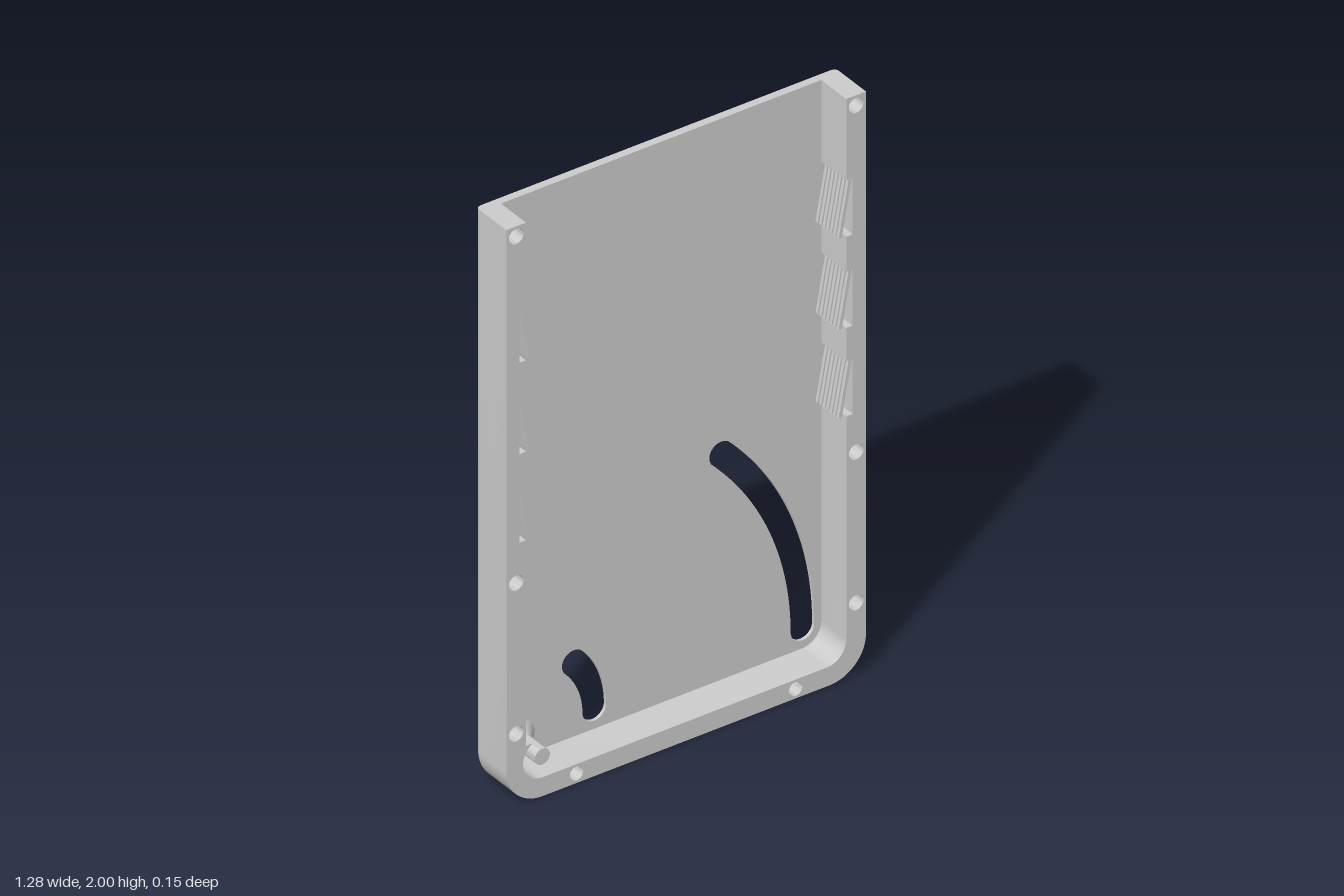
import * as THREE from 'three';
import { toCreasedNormals } from 'three/addons/utils/BufferGeometryUtils.js';

const W = 0.64, H = 2, R = 0.13;              // half width, height, corner radius
const IN = 0.57, FLOOR_Y = 0.065;             // inner faces of the walls
const BACK = -0.076, FRONT = 0.076, FLOOR = -0.049, FILLET = 0.016;
const PIVOT = [-0.51, 0.135];
const FIN_SETS = [[1.72, 1.525], [1.405, 1.21], [1.095, 0.905]]; // top, bottom
const NOTCH = 0.593;

export function createModel() {
  const group = new THREE.Group();
  const material = new THREE.MeshStandardMaterial({ color: 0xcccccc });

  const add = (name, geometry, parent = group) => {
    const mesh = new THREE.Mesh(toCreasedNormals(geometry, 0.6), material);
    mesh.name = name;
    parent.add(mesh);
    return mesh;
  };
  const extrude = (shape, z0, z1, steps = 1) =>
    new THREE.ExtrudeGeometry(shape, { depth: z1 - z0, steps, bevelEnabled: false, curveSegments: 20 })
      .translate(0, 0, z0);

  // Outer outline: square at the top, rounded at the bottom corners
  const outline = () => {
    const s = new THREE.Shape();
    s.moveTo(-W, H);
    s.lineTo(-W, R);
    s.absarc(-W + R, R, R, Math.PI, 1.5 * Math.PI, false);
    s.lineTo(W - R, 0);
    s.absarc(W - R, R, R, -Math.PI / 2, 0, false);
    s.lineTo(W, H);
    return s;
  };
  const circle = (x, y, r) => new THREE.Path().absarc(x, y, r, 0, 2 * Math.PI, false);

  // Curved slot with round ends, swept about the pivot
  const arcSlot = (radius, angle, w) => {
    const [px, py] = PIVOT, p = new THREE.Path();
    p.absarc(px, py, radius + w, 0, angle, false);
    p.absarc(px + radius * Math.cos(angle), py + radius * Math.sin(angle), w, angle, angle + Math.PI, false);
    p.absarc(px, py, radius - w, angle, 0, true);
    p.absarc(px + radius, py, w, Math.PI, 2 * Math.PI, false);
    return p;
  };
  const plateShape = (w) => {
    const s = outline();
    s.holes.push(arcSlot(0.272, 0.75, w), arcSlot(1.013, 0.775, w), circle(...PIVOT, 0.0585));
    return s;
  };

  // Back plate: narrow slots inside, wider recesses on the rear
  add('innerPlate', extrude(plateShape(0.042), BACK + FILLET, FLOOR));
  const rear = extrude(plateShape(0.06), BACK, BACK + FILLET, 5);
  const pos = rear.attributes.position;
  // Round the rear side and bottom edges by pulling the rim inwards
  for (let i = 0; i < pos.count; i++) {
    const t = Math.max(0, FILLET - (pos.getZ(i) - BACK));
    const d = FILLET - Math.sqrt(Math.max(0, FILLET * FILLET - t * t));
    let x = pos.getX(i), y = pos.getY(i);
    const side = Math.sign(x), cx = W - R, dx = Math.abs(x) - cx, dy = y - R;
    if (dx > 0 && dy < 0) {
      const k = Math.min(1, (R - d) / Math.hypot(dx, dy));
      x = side * (cx + dx * k);
      y = R + dy * k;
    } else {
      x = side * Math.min(Math.abs(x), W - d);
      y = Math.max(y, d);
    }
    pos.setXY(i, x, y);
  }
  add('rearPlate', rear);

  // U-shaped wall with fin notches and screw holes
  const wall = outline();
  wall.lineTo(IN, H);
  for (const [t, b] of FIN_SETS) {
    wall.lineTo(IN, t);
    wall.lineTo(NOTCH, t);
    wall.lineTo(NOTCH, b);
    wall.lineTo(IN, b);
  }
  wall.lineTo(IN, FLOOR_Y + 0.07);
  wall.absarc(IN - 0.07, FLOOR_Y + 0.07, 0.07, 0, -Math.PI / 2, true);
  wall.absarc(...PIVOT, 0.07, -Math.PI / 2, -1.33 * Math.PI, true);
  wall.lineTo(-IN, PIVOT[1] + 0.07 * Math.sin(0.67 * Math.PI));
  for (const [t, b] of [...FIN_SETS].reverse()) {
    wall.lineTo(-IN, b);
    wall.lineTo(-NOTCH, b);
    wall.lineTo(-NOTCH, t);
    wall.lineTo(-IN, t);
  }
  wall.lineTo(-IN, H);
  for (const s of [-1, 1]) {
    for (const y of [1.965, 0.77, 0.25]) wall.holes.push(circle(s * 0.605, y, 0.026));
    wall.holes.push(circle(s * 0.39, 0.033, 0.024));
  }
  add('sideWalls', extrude(wall, FLOOR, FRONT));

  // Pivot pin with flared foot, countersunk from the rear
  const profile = [[0, -0.04], [0.024, -0.04], [0.06, BACK], [0.06, FLOOR],
    [0.027, -0.016], [0.027, 0.074], [0, 0.074]].map(([r, z]) => new THREE.Vector2(r, z));
  const pin = add('pivotPin', new THREE.LatheGeometry(profile, 40).rotateX(Math.PI / 2));
  pin.position.set(...PIVOT, 0);

  // Combs of thin slanted fins on both walls
  for (const s of [-1, 1]) {
    FIN_SETS.forEach(([t, b]) => {
      const comb = new THREE.Group();
      comb.name = s > 0 ? 'leftFinComb' : 'rightFinComb';
      group.add(comb);
      const fin = new THREE.Shape([[NOTCH, t], [0.582, t], [0.546, b], [0.557, b]]
        .map(([x, y]) => new THREE.Vector2(s * x, y)));
      for (let i = 0; i < 7; i++) {
        const z = FLOOR + 0.005 + i * 0.0175;
        add('fin', extrude(fin, z, z + 0.011), comb);
      }
    });
  }
  return group;
}
